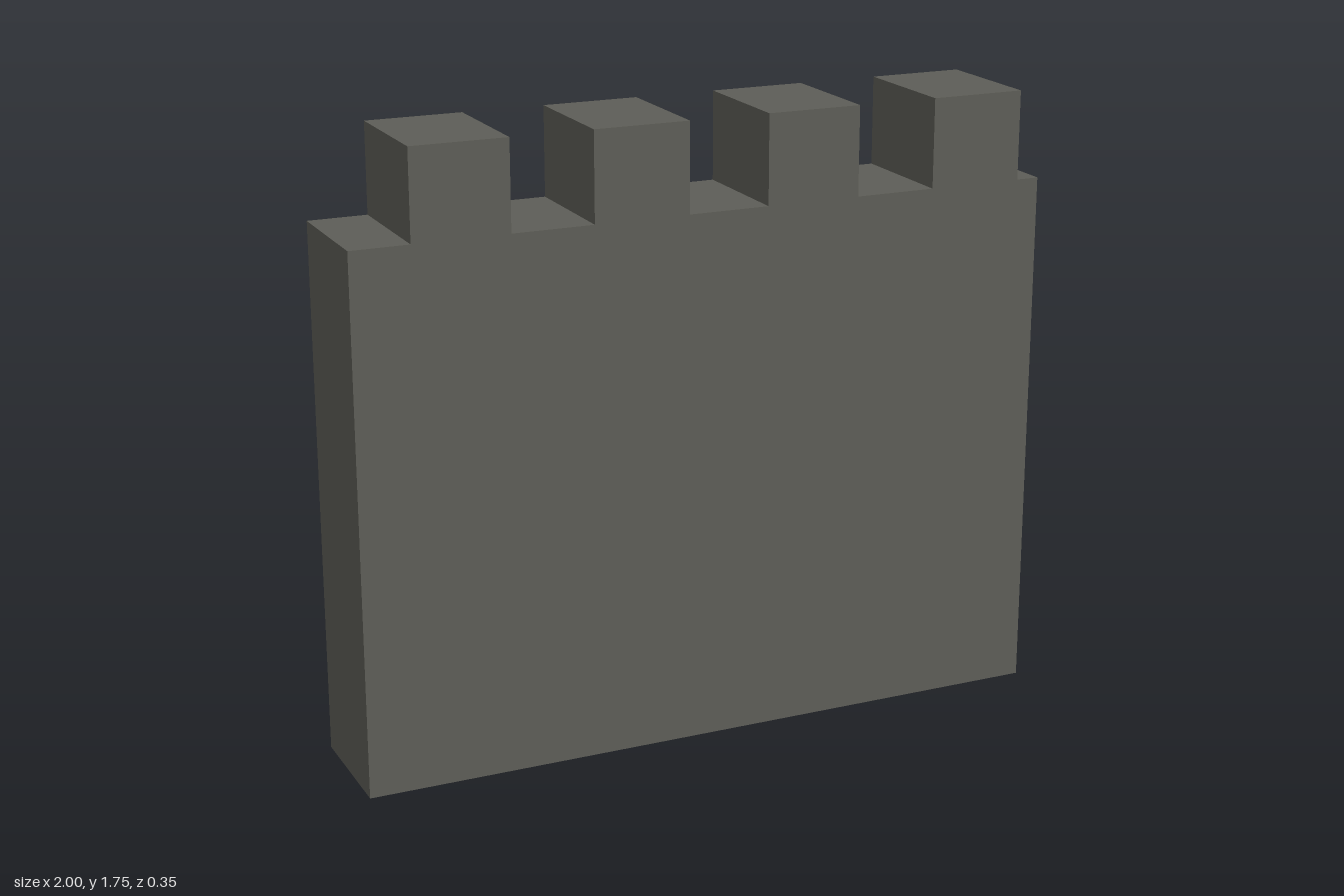
import * as THREE from 'three';

const WALL_TOP = 1.5, MERLON_TOP = 1.75, DEPTH = 0.35;
const MERLON_WIDTH = 0.27, MERLON_SPACING = 0.5, FIRST_MERLON = 0.8;

export function createModel() {
  const group = new THREE.Group();
  group.name = 'battlementWall';
  const stone = new THREE.MeshStandardMaterial({ color: 0x5e5e58 });
  stone.name = 'dark stone';

  // Wall outline, with the four merlons traced from right to left
  const outline = new THREE.Shape();
  outline.moveTo(-1, 0);
  outline.lineTo(1, 0);
  outline.lineTo(1, WALL_TOP);
  for (let i = 0; i < 4; i++) {
    const right = FIRST_MERLON - i * MERLON_SPACING + MERLON_WIDTH / 2;
    const left = right - MERLON_WIDTH;
    outline.lineTo(right, WALL_TOP);
    outline.lineTo(right, MERLON_TOP);
    outline.lineTo(left, MERLON_TOP);
    outline.lineTo(left, WALL_TOP);
  }
  outline.lineTo(-1, WALL_TOP);
  outline.closePath();

  // Solid wall, centred in depth
  const geometry = new THREE.ExtrudeGeometry(outline, { depth: DEPTH, bevelEnabled: false });
  geometry.translate(0, 0, -DEPTH / 2);
  const wall = new THREE.Mesh(geometry, stone);
  wall.name = 'crenellatedWall';
  group.add(wall);
  return group;
}
